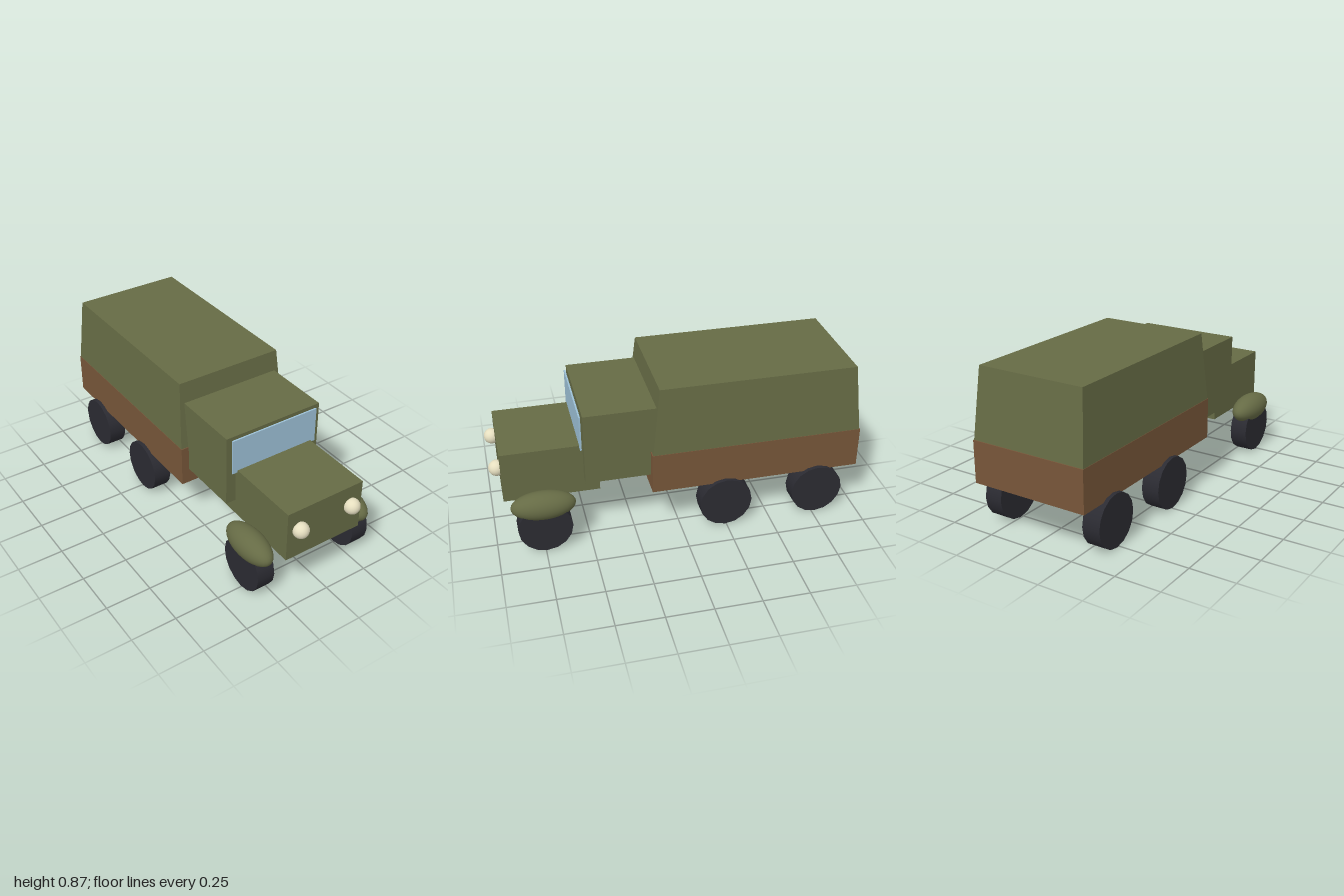
import * as THREE from 'three';

function material(name, color) {
  const m = new THREE.MeshStandardMaterial({ color });
  m.name = name;
  return m;
}

export function createModel() {
  const olive = material('olive', 0x666b45);
  const brown = material('brown', 0x775639);
  const glass = material('pale blue glass', 0x9cc0d6);
  const cream = material('cream', 0xe6dfc0);
  const black = material('dark rubber', 0x2b2b32);

  const truck = new THREE.Group();
  truck.name = 'coveredTruck';

  function add(name, geometry, mat, x = 0, y = 0, z = 0) {
    const mesh = new THREE.Mesh(geometry, mat);
    mesh.name = name;
    mesh.position.set(x, y, z);
    truck.add(mesh);
    return mesh;
  }

  // Box given by its half width and its y and z ranges
  function block(name, mat, halfX, y0, y1, z0, z1) {
    const geometry = new THREE.BoxGeometry(2 * halfX, y1 - y0, z1 - z0);
    return add(name, geometry, mat, 0, (y0 + y1) / 2, (z0 + z1) / 2);
  }

  block('hood', olive, 0.231, 0.265, 0.552, 0.427, 0.942);
  block('cab', olive, 0.288, 0.351, 0.755, 0.1, 0.511);
  block('windshield', glass, 0.26, 0.54, 0.74, 0.518, 0.527);
  block('cargoBed', brown, 0.332, 0.265, 0.494, -1, 0.16);

  // Canvas cover: a box whose top face is drawn inward on all sides
  const cover = new THREE.BoxGeometry(0.66, 0.376, 1.15);
  const p = cover.attributes.position;
  for (let i = 0; i < p.count; i++) {
    if (p.getY(i) > 0) {
      p.setX(i, Math.sign(p.getX(i)) * 0.306);
      p.setZ(i, Math.sign(p.getZ(i)) * 0.534);
    }
  }
  cover.computeVertexNormals();
  add('canvasCover', cover, olive, 0, 0.682, -0.42);

  // Wheels, fenders and headlights, mirrored left and right
  const wheel = new THREE.CylinderGeometry(0.145, 0.145, 0.1, 16).rotateZ(Math.PI / 2);
  const fender = new THREE.SphereGeometry(1, 32, 20).scale(0.078, 0.078, 0.172);
  const lamp = new THREE.SphereGeometry(0.043, 24, 16);
  for (const [side, s] of [['left', 1], ['right', -1]]) {
    add(side + 'FrontWheel', wheel, black, s * 0.304, 0.145, 0.742);
    add(side + 'MiddleWheel', wheel, black, s * 0.304, 0.145, -0.245);
    add(side + 'RearWheel', wheel, black, s * 0.304, 0.145, -0.768);
    add(side + 'Fender', fender, olive, s * 0.305, 0.263, 0.742);
    add(side + 'Headlight', lamp, cream, s * 0.16, 0.437, 0.957);
  }

  return truck;
}
